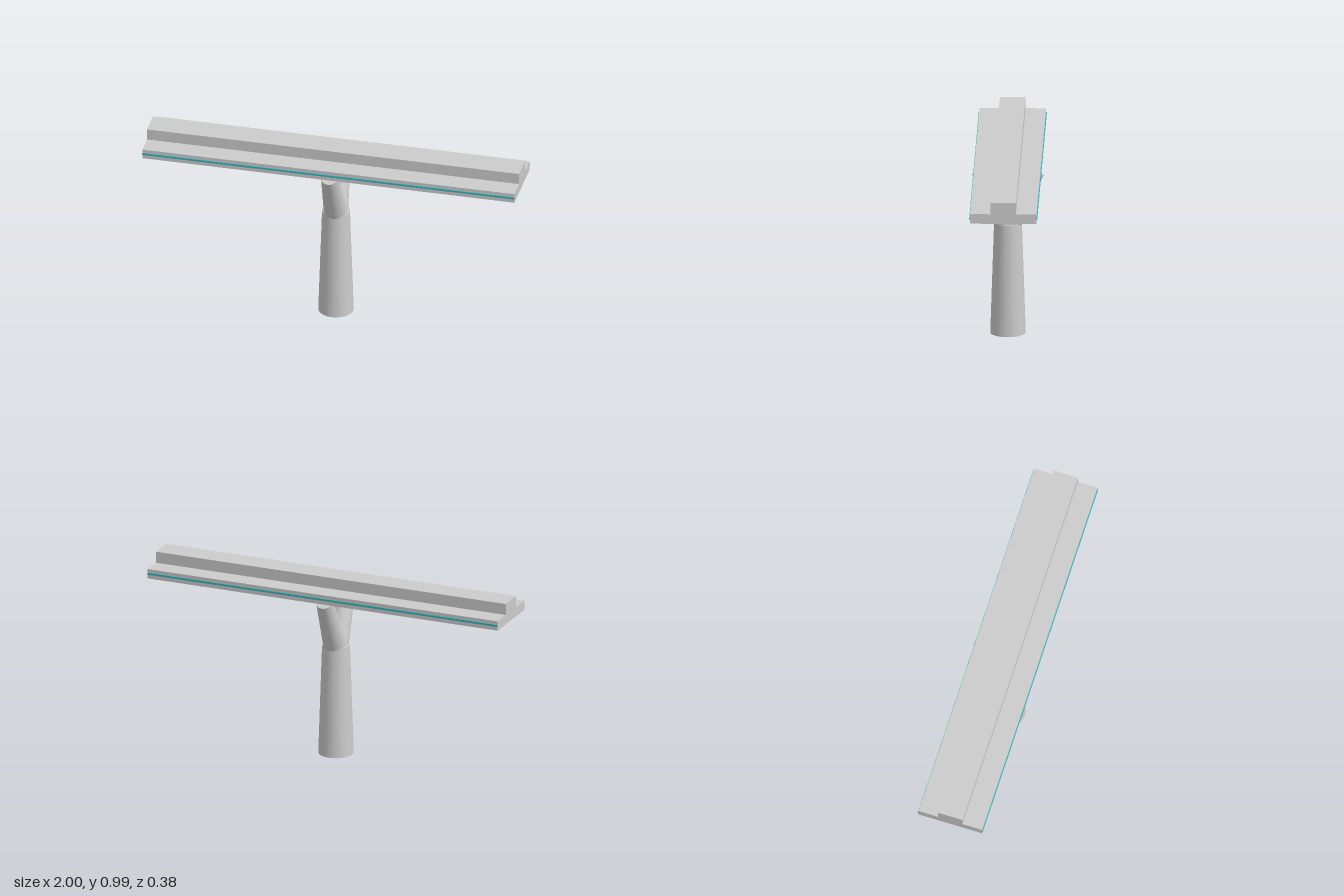
import * as THREE from 'three';

export function createModel() {
  const model = new THREE.Group();
  const grey = new THREE.MeshStandardMaterial({ color: 0xcccccc });
  const teal = new THREE.MeshStandardMaterial({ color: 0x2fb5bd });

  const add = (name, geometry, material = grey) => {
    const mesh = new THREE.Mesh(geometry, material);
    mesh.name = name;
    model.add(mesh);
    return mesh;
  };

  // Tapered cylinder running between two points
  const taperedPost = (name, from, to, rFrom, rTo) => {
    const axis = to.clone().sub(from);
    const mesh = add(name, new THREE.CylinderGeometry(rTo, rFrom, axis.length(), 48));
    mesh.position.copy(from).add(to).multiplyScalar(0.5);
    mesh.quaternion.setFromUnitVectors(new THREE.Vector3(0, 1, 0), axis.normalize());
  };

  // Column
  taperedPost('column', new THREE.Vector3(0, 0, 0), new THREE.Vector3(0, 0.602, 0), 0.093, 0.073);

  // Deck and raised rail: one T-shaped section, run along x
  const half = [[0.174, 0.88], [0.174, 0.932], [0.067, 0.932], [0.067, 0.993]];
  const outline = [...half, ...half.map(([z, y]) => [-z, y]).reverse()];
  const section = new THREE.Shape(outline.map(([z, y]) => new THREE.Vector2(z, y)));
  const beam = new THREE.ExtrudeGeometry(section, { depth: 2, bevelEnabled: false });
  beam.translate(0, 0, -1).rotateY(Math.PI / 2);
  add('beam', beam);

  // Forked arms and the light strips on both deck edges
  for (const side of [1, -1]) {
    const label = side > 0 ? 'front' : 'back';
    taperedPost(label + 'Arm', new THREE.Vector3(0, 0.574, 0),
      new THREE.Vector3(0, 0.881, side * 0.147), 0.063, 0.045);
    const strip = add(label + 'LightStrip', new THREE.BoxGeometry(2, 0.01, 0.01), teal);
    strip.position.set(0, 0.907, side * 0.173);
  }

  return model;
}
